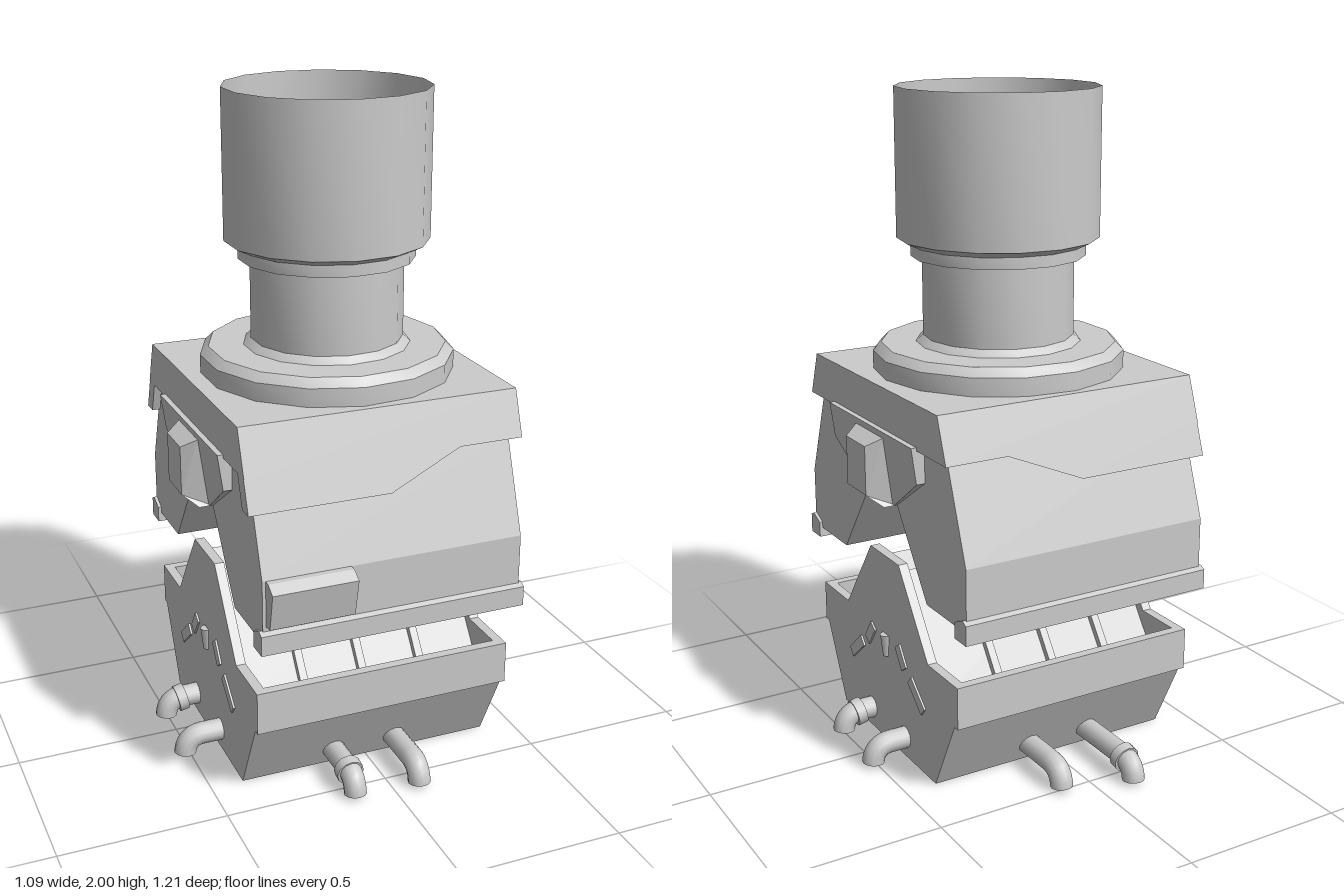
import * as THREE from 'three';
import { toCreasedNormals } from 'three/addons/utils/BufferGeometryUtils.js';

const mat = new THREE.MeshStandardMaterial({ color: 0xcccccc, side: THREE.DoubleSide });

function add(parent, name, geometry) {
  const mesh = new THREE.Mesh(geometry, mat);
  mesh.name = name;
  parent.add(mesh);
  return mesh;
}

const toShape = (pts) => new THREE.Shape(pts.map(([a, b]) => new THREE.Vector2(a, b)));

// Mirror a half profile [z, y], listed from the front edge inwards, to a full outline
const mirrored = (half) => [...half, ...half.slice().reverse().map(([z, y]) => [-z, y])];

// Extrude a [z, y] outline along x, from x0 to x1
function alongX(pts, x0, x1) {
  return new THREE.ExtrudeGeometry(toShape(pts), { depth: x1 - x0, bevelEnabled: false })
    .rotateY(-Math.PI / 2).translate(x1, 0, 0);
}

// Open sheet following a [z, y] line along x
function sheet(pts, x0, x1) {
  const pos = [];
  for (let i = 0; i + 1 < pts.length; i++) {
    const [z0, y0] = pts[i], [z1, y1] = pts[i + 1];
    pos.push(x0, y0, z0, x1, y0, z0, x1, y1, z1, x0, y0, z0, x1, y1, z1, x0, y1, z1);
  }
  const g = new THREE.BufferGeometry();
  g.setAttribute('position', new THREE.Float32BufferAttribute(pos, 3));
  g.computeVertexNormals();
  return g;
}

function moveVertices(g, rule) {
  const p = g.attributes.position, v = new THREE.Vector3();
  for (let i = 0; i < p.count; i++) {
    rule(v.fromBufferAttribute(p, i));
    p.setXYZ(i, v.x, v.y, v.z);
  }
  g.computeVertexNormals();
  return g;
}

// Elbow pipe running out along local +x and bending down to the ground
function elbowPipe(start, end, collar) {
  const group = new THREE.Group();
  const h = 0.065, r = 0.034, xe = end - r;
  const path = new THREE.CurvePath();
  const a = new THREE.Vector3(start, h, 0), b = new THREE.Vector3(xe - 0.06, h, 0);
  const c = new THREE.Vector3(xe, 0.012, 0);
  path.add(new THREE.LineCurve3(a, b));
  path.add(new THREE.QuadraticBezierCurve3(b, new THREE.Vector3(xe - 0.005, h, 0), c));
  add(group, 'pipe', new THREE.TubeGeometry(path, 16, r, 12));
  if (collar) {
    const ring = add(group, 'pipeCollar', new THREE.CylinderGeometry(0.042, 0.042, 0.03, 12, 1));
    ring.position.set(xe - 0.05, h - 0.004, 0);
    ring.rotation.z = Math.PI / 2 - 0.2;
  }
  return group;
}

export function createModel() {
  const model = new THREE.Group();
  const body = new THREE.Group();
  body.name = 'body';
  body.position.z = 0.035;
  model.add(body);

  // Stack: flange, neck and wide open barrel
  const profile = [[0.38, 1.165], [0.38, 1.22], [0.355, 1.245], [0.25, 1.245], [0.228, 1.265],
    [0.228, 1.505], [0.262, 1.505], [0.262, 1.54], [0.303, 1.56], [0.303, 2]];
  const lathe = new THREE.LatheGeometry(profile.map(([r, y]) => new THREE.Vector2(r, y)), 15, Math.PI / 2);
  add(body, 'stack', toCreasedNormals(lathe, 0.6));

  // Upper housing straddling the gap
  add(body, 'upperHousing', alongX(mirrored([
    [0.37, 1.15], [0.41, 1.03], [0.51, 0.75], [0.51, 0.58], [0.48, 0.56], [0.275, 0.56], [0.095, 0.81],
  ]), -0.4, 0.4));
  // Hood cap
  add(body, 'hood', alongX(mirrored([[0.4, 1.165], [0.448, 1.03]]), -0.425, 0.425));

  for (const s of [1, -1]) {
    // Stepped skirt under the hood, leaning outwards as it goes down
    const skirt = new THREE.ExtrudeGeometry(toShape([
      [-0.425, 1.04], [-0.425, 0.935], [0, 0.935], [0.23, 1.03], [0.425, 1.03], [0.425, 1.04],
    ]), { depth: 0.05, bevelEnabled: false });
    skirt.translate(0, 0, s > 0 ? 0 : -0.05);
    moveVertices(skirt, (v) => { v.z += s * (0.398 + (1.165 - v.y) * 0.35 - 0.05 + (s > 0 ? 0 : 0.05)) + (s > 0 ? 0 : 0.05); });
    add(body, 'hoodSkirt', skirt);

    // Lip along the foot of the housing
    add(body, 'footLip', alongX([
      [s * 0.505, 0.6], [s * 0.525, 0.59], [s * 0.525, 0.53], [s * 0.46, 0.53], [s * 0.46, 0.58],
    ], -0.41, 0.41));

    // Raised side panel, swelling towards the hood
    const panel = alongX(mirrored([[0.275, 1.04], [0.275, 0.93], [0.095, 0.81]]), 0.38, 0.44);
    moveVertices(panel, (v) => {
      if (v.x > 0.4) v.x = 0.41 + 0.032 * (v.y - 0.81) / 0.23;
      v.x *= s;
    });
    add(body, 'sidePanel', panel);

    // Side block with chamfered outer face
    const block = new THREE.ExtrudeGeometry(toShape([
      [0.4, 1.02], [0.44, 1.02], [0.485, 0.995], [0.485, 0.845], [0.44, 0.808], [0.4, 0.808],
    ]), { depth: 0.18, bevelEnabled: false }).translate(0, 0, -0.09);
    moveVertices(block, (v) => {
      if (v.x > 0.46) v.z *= 0.7;
      v.x *= s;
    });
    add(body, 'sideBlock', block);
  }

  // Control box on the front
  add(body, 'frontBox', alongX([[0.5, 0.75], [0.53, 0.75], [0.565, 0.73], [0.54, 0.615], [0.5, 0.61]], -0.39, -0.135));

  // Lower hopper: end plates joined by a folded sheet, open underneath
  const endHalf = [[0.095, 0.62], [0.275, 0.37], [0.455, 0.37], [0.455, 0.24], [0.435, 0.24], [0.315, 0]];
  for (const s of [1, -1]) {
    add(body, 'endPlate', alongX(mirrored(endHalf), s > 0 ? 0.37 : -0.4, s > 0 ? 0.4 : -0.37));
    // Vent slots on the end plates
    for (const [z, y, len, tilt] of [[0.105, 0.325, 0.075, 0.95], [0.205, 0.24, 0.11, 0.7]]) {
      for (const m of [1, -1]) {
        const slot = add(body, 'ventSlot', new THREE.BoxGeometry(0.012, 0.035, len));
        slot.position.set(s * 0.4, y, m * z);
        slot.rotation.x = m * tilt;
      }
    }
    const nub = add(body, 'ventNub', new THREE.CylinderGeometry(0.02, 0.012, 0.07, 8));
    nub.position.set(s * 0.4, 0.325, 0);
  }
  const half = [[0.315, 0], [0.435, 0.24], [0.455, 0.24], [0.455, 0.37], [0.425, 0.37], [0.425, 0.27],
    [0.31, 0.27], [0.075, 0.59], [0, 0.53]];
  const full = [...half, ...half.slice(0, -1).reverse().map(([z, y]) => [-z, y])];
  add(body, 'hopper', sheet(full, -0.38, 0.38));

  // Ribs on the hopper slopes
  for (const x of [-0.2, -0.01, 0.18]) {
    for (const s of [1, -1]) {
      add(body, 'rib', alongX([
        [s * 0.29, 0.26], [s * 0.06, 0.575], [s * 0.085, 0.61], [s * 0.335, 0.27],
      ], x - 0.012, x + 0.012));
    }
  }

  // Outlet pipes: [offset along the wall, reach, collar] with the wall's turn
  const walls = [
    [0, 0.38, [[-0.085, 0.545, false], [0.148, 0.535, true]]],
    [Math.PI, 0.38, [[-0.148, 0.55, false], [0.085, 0.54, true]]],
    [-Math.PI / 2, 0.36, [[0.12, 0.585, true], [-0.08, 0.602, false]]],
    [Math.PI / 2, 0.29, [[-0.11, 0.605, true], [0.095, 0.53, false]]],
  ];
  for (const [turn, start, list] of walls) {
    const wall = new THREE.Group();
    wall.name = 'outletPipes';
    wall.rotation.y = turn;
    for (const [offset, reach, collar] of list) {
      const pipe = elbowPipe(start, reach, collar);
      pipe.name = 'outletPipe';
      pipe.position.z = offset;
      wall.add(pipe);
    }
    model.add(wall);
  }
  return model;
}
